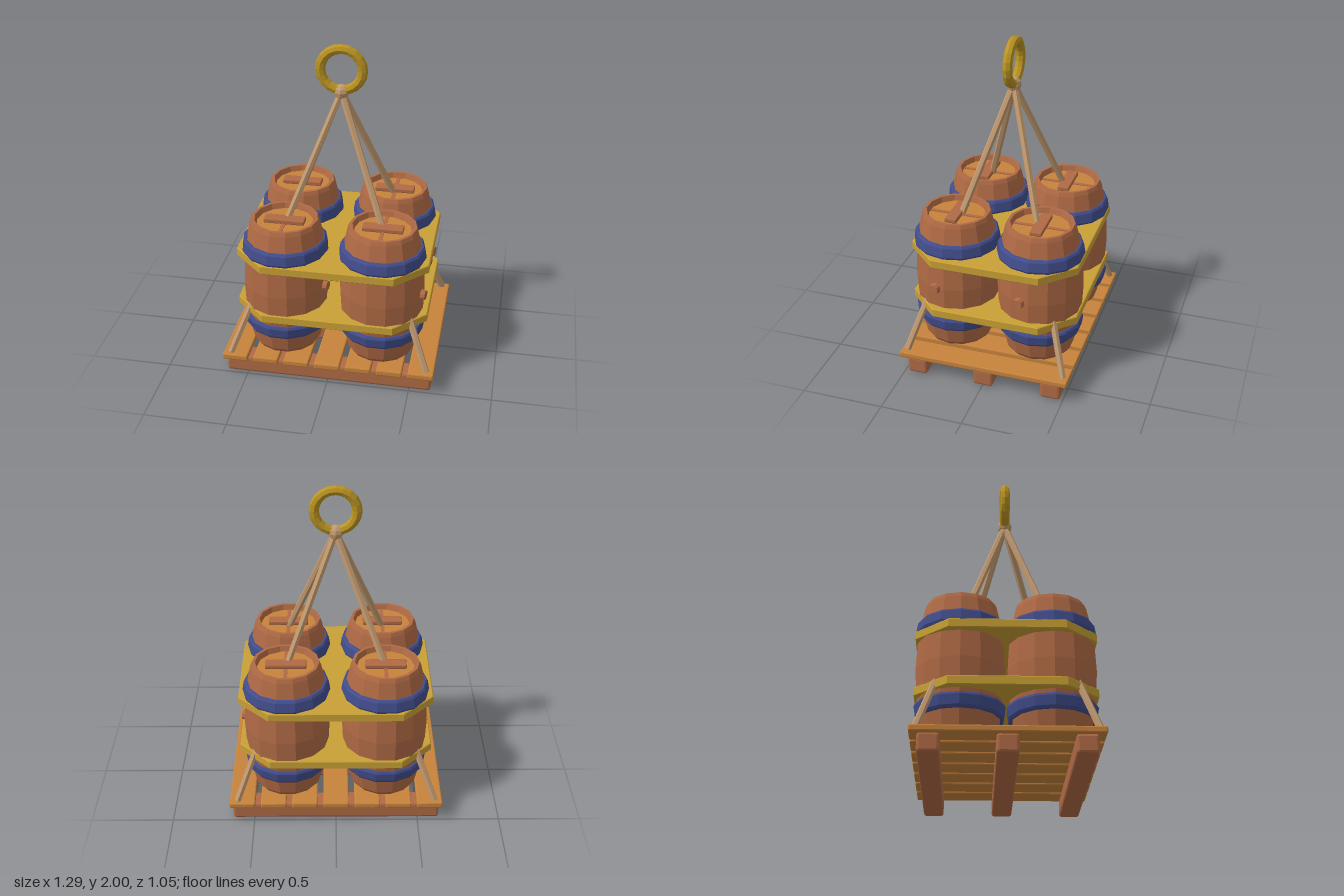
import * as THREE from 'three';
import { RoundedBoxGeometry } from 'three/addons/geometries/RoundedBoxGeometry.js';

function material(name, color) {
  const m = new THREE.MeshStandardMaterial({ color });
  m.name = name;
  return m;
}

const SIDES = 14;
const BUNG_ANGLE = Math.PI / SIDES;

// Faceted normals for a low-poly look
function flat(geometry) {
  const g = geometry.index ? geometry.toNonIndexed() : geometry;
  g.computeVertexNormals();
  return g;
}

// Faceted solid of revolution with one corner on the x axis
function turned(points) {
  const profile = points.map(([r, y]) => new THREE.Vector2(r, y));
  return flat(new THREE.LatheGeometry(profile, SIDES).rotateY(Math.PI / 2));
}

function bar(w, h, d, bevel) {
  return flat(new RoundedBoxGeometry(w, h, d, 1, bevel));
}

// Six-sided rod between two points
function rod(a, b, radius) {
  const dir = b.clone().sub(a);
  const g = flat(new THREE.CylinderGeometry(radius, radius, dir.length(), 6));
  g.applyQuaternion(new THREE.Quaternion().setFromUnitVectors(
    new THREE.Vector3(0, 1, 0), dir.normalize()));
  return g.translate((a.x + b.x) / 2, (a.y + b.y) / 2, (a.z + b.z) / 2);
}

export function createModel() {
  const model = new THREE.Group();
  model.name = 'barrelPallet';

  const brown = material('barrel wood', 0xb06a45);
  const orange = material('light wood', 0xc7833c);
  const blue = material('blue hoop', 0x424d8c);
  const yellow = material('yellow frame', 0xc9a035);
  const gold = material('gold ring', 0xba9322);
  const tan = material('rope', 0xc29a70);

  function add(parent, name, geometry, mat, x = 0, y = 0, z = 0) {
    const mesh = new THREE.Mesh(geometry, mat);
    mesh.name = name;
    mesh.position.set(x, y, z);
    parent.add(mesh);
    return mesh;
  }

  // Pallet: three runners along x, seven planks along z
  const pallet = new THREE.Group();
  pallet.name = 'pallet';
  model.add(pallet);
  const runner = bar(1.26, 0.108, 0.122, 0.015);
  for (const z of [-0.42, 0, 0.42]) add(pallet, 'runner', runner, brown, 0, 0.054, z);
  const plank = bar(0.155, 0.038, 1.05, 0.008);
  for (let i = -3; i <= 3; i++) add(pallet, 'plank', plank, orange, i * 0.19, 0.126, 0);

  // Barrel parts
  const body = turned([
    [0, 0.155], [0.19, 0.155], [0.207, 0.18], [0.232, 0.29], [0.25, 0.42], [0.258, 0.58],
    [0.25, 0.74], [0.232, 0.87], [0.21, 0.97], [0.2, 0.995], [0.182, 0.995],
    [0.17, 0.955], [0, 0.955],
  ]);
  const lowerHoop = turned([
    [0.22, 0.285], [0.242, 0.285], [0.253, 0.3], [0.262, 0.355], [0.255, 0.37], [0.23, 0.37],
  ]);
  const upperHoop = turned([
    [0.23, 0.79], [0.255, 0.79], [0.262, 0.805], [0.253, 0.86], [0.243, 0.873], [0.22, 0.873],
  ]);
  const lid = turned([[0.171, 0.95], [0.171, 0.962], [0, 0.962]]);
  const seam = new THREE.BoxGeometry(0.022, 0.008, 0.33);
  const handle = bar(0.244, 0.028, 0.072, 0.006);
  const bung = flat(new THREE.CylinderGeometry(0.03, 0.037, 0.05, 10)
    .rotateZ(-Math.PI / 2).translate(0.253, 0.58, 0).rotateY(-BUNG_ANGLE));

  for (const x of [-0.295, 0.295]) {
    for (const z of [-0.26, 0.26]) {
      const barrel = new THREE.Group();
      barrel.name = 'barrel';
      barrel.position.set(x, 0, z);
      model.add(barrel);
      add(barrel, 'barrelBody', body, brown);
      add(barrel, 'lowerHoop', lowerHoop, blue);
      add(barrel, 'upperHoop', upperHoop, blue);
      add(barrel, 'lid', lid, orange);
      add(barrel, 'lidSeam', seam, brown, 0, 0.963, 0);
      add(barrel, 'lidHandle', handle, brown, 0, 0.976, 0);
      add(barrel, 'bung', bung, brown);
    }
  }

  // Two eight-sided plates that hold the barrels together
  const outline = [[0.575, -0.325], [0.575, 0.325], [0.392, 0.51], [-0.392, 0.51],
    [-0.575, 0.325], [-0.575, -0.325], [-0.392, -0.51], [0.392, -0.51]];
  const plate = new THREE.ExtrudeGeometry(
    new THREE.Shape(outline.map(([x, y]) => new THREE.Vector2(x, y))),
    { depth: 0.044, bevelThickness: 0.005, bevelSize: 0.005, bevelSegments: 1 },
  ).rotateX(-Math.PI / 2);
  add(model, 'lowerFrame', plate, yellow, 0, 0.403, 0);
  add(model, 'upperFrame', plate, yellow, 0, 0.743, 0);

  // Ropes from the knot down to the pallet corners
  const top = new THREE.Vector3(0, 1.71, 0);
  for (const sx of [-1, 1]) {
    for (const sz of [-1, 1]) {
      add(model, 'rope', rod(new THREE.Vector3(sx * 0.6, 0.145, sz * 0.49), top, 0.021), tan);
    }
  }
  add(model, 'knot', flat(new THREE.SphereGeometry(0.046, 8, 6)), tan, 0, 1.71, 0);

  // Lifting ring
  add(model, 'liftingRing', flat(new THREE.TorusGeometry(0.125, 0.03, 8, 20)), gold, 0, 1.845, 0);

  return model;
}
